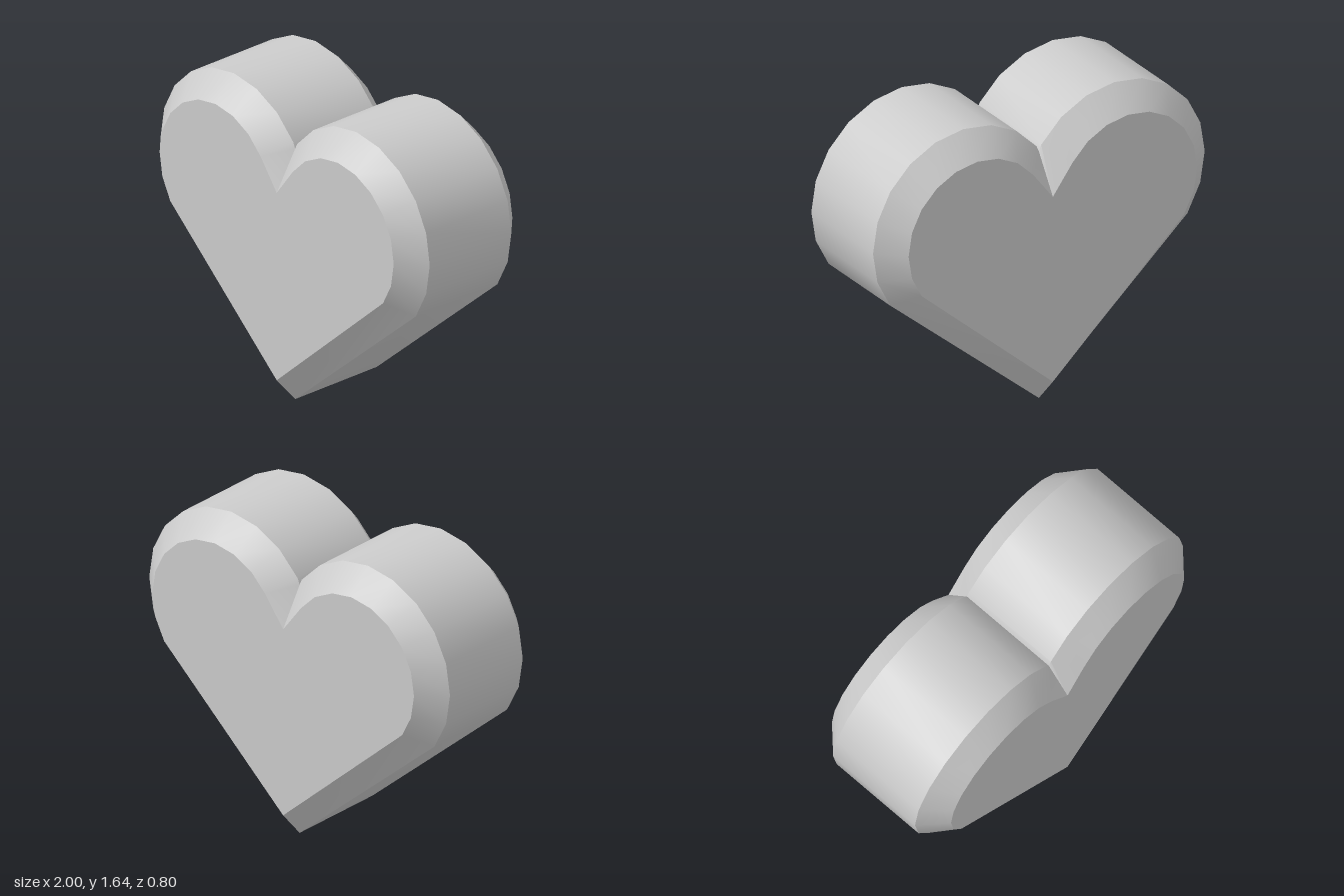
import * as THREE from 'three';
import { toCreasedNormals } from 'three/addons/utils/BufferGeometryUtils.js';

// Counter-clockwise heart: bottom tip, right lobe arc, notch, mirrored left lobe
function heartOutline(radius, tipY, notchY) {
  const right = [];
  for (let deg = -36; deg <= 144; deg += 18) {
    const a = THREE.MathUtils.degToRad(deg);
    right.push(new THREE.Vector2(0.455 + radius * Math.cos(a), 1.1 + radius * Math.sin(a)));
  }
  const left = right.map((p) => new THREE.Vector2(-p.x, p.y)).reverse();
  return [new THREE.Vector2(0, tipY), ...right, new THREE.Vector2(0, notchY), ...left];
}

export function createModel() {
  const outer = heartOutline(0.545, 0, 1.388);
  const inner = heartOutline(0.415, 0.145, 1.185);
  const n = outer.length;

  // Cross-sections from back to front: bevel, straight wall, bevel
  const sections = [[inner, -0.4], [outer, -0.275], [outer, 0.275], [inner, 0.4]];
  const positions = sections.flatMap(([outline, z]) => outline.flatMap((p) => [p.x, p.y, z]));
  const index = [];
  for (let s = 0; s < sections.length - 1; s++) {
    for (let i = 0; i < n; i++) {
      const a = s * n + i, b = s * n + (i + 1) % n;
      index.push(a, b, b + n, a, b + n, a + n);
    }
  }

  // Flat back and front faces
  const front = 3 * n;
  for (const [a, b, c] of THREE.ShapeUtils.triangulateShape(inner, [])) {
    index.push(a, c, b, front + a, front + b, front + c);
  }

  const geometry = new THREE.BufferGeometry();
  geometry.setAttribute('position', new THREE.Float32BufferAttribute(positions, 3));
  geometry.setIndex(index);

  const heart = new THREE.Mesh(
    toCreasedNormals(geometry, 0.6),
    new THREE.MeshStandardMaterial({ color: 0xcccccc })
  );
  heart.name = 'bevelledHeart';

  const group = new THREE.Group();
  group.name = 'heart';
  group.add(heart);
  return group;
}
